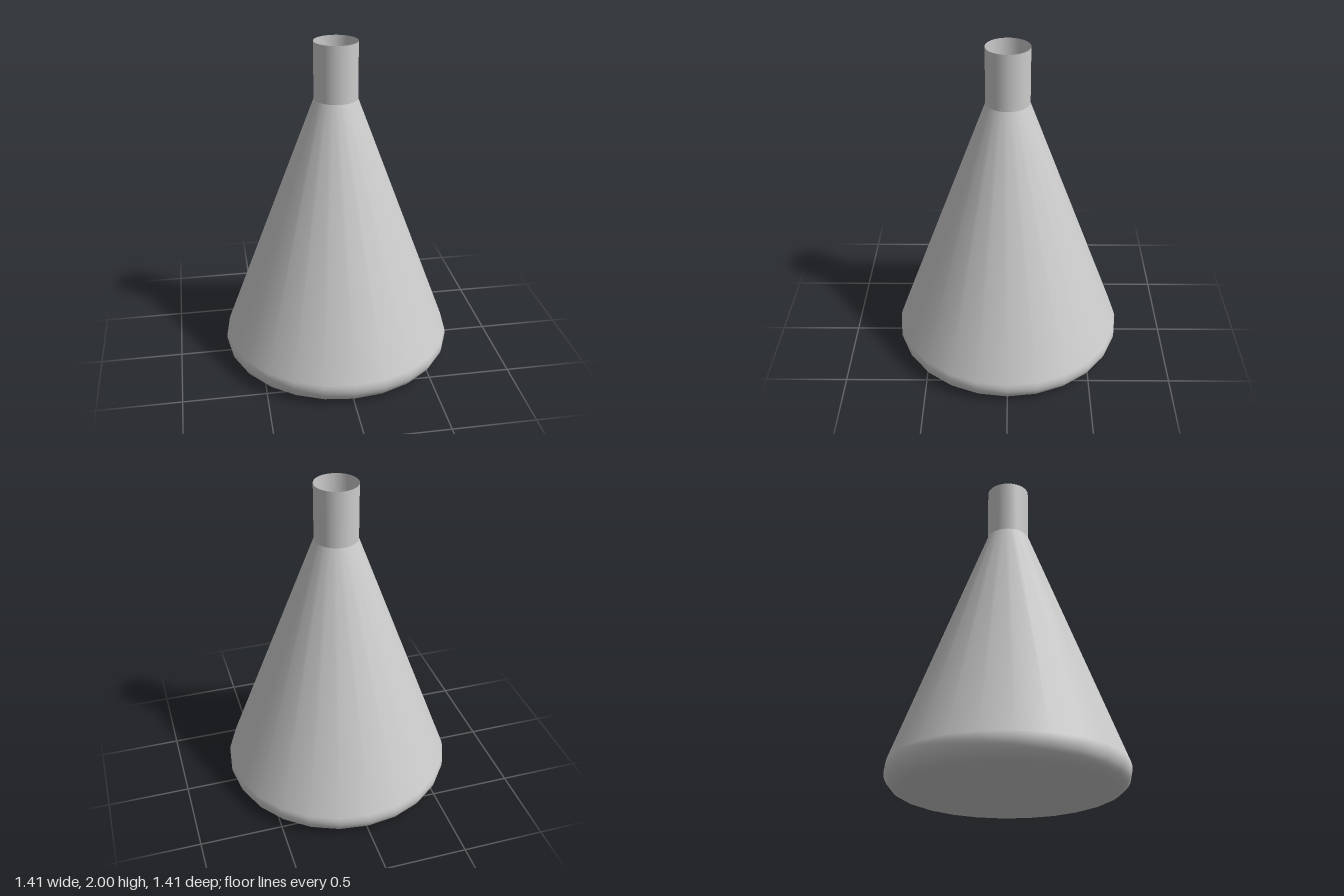
import * as THREE from 'three';

export function createModel() {
  const flask = new THREE.Group();
  flask.name = 'conicalFlask';
  const material = new THREE.MeshStandardMaterial({ color: 0xcccccc, side: THREE.DoubleSide });

  const NECK_R = 0.13, NECK_Y = 1.66, TOP_Y = 2;
  const BASE_R = 0.6, ROUND = 0.105;
  const coneTilt = 0.35; // angle of the cone wall's normal above horizontal

  // Revolve a profile, running from bottom to top, about the y axis
  const addLathe = (name, points, sides) => {
    const mesh = new THREE.Mesh(new THREE.LatheGeometry(points, sides), material);
    mesh.name = name;
    flask.add(mesh);
  };

  // Flat floor
  const floor = new THREE.Mesh(new THREE.CircleGeometry(BASE_R, 24), material);
  floor.name = 'floor';
  floor.rotation.x = Math.PI / 2;
  flask.add(floor);

  // Rounded lower edge, running tangentially into the tapering wall
  const body = [];
  for (let i = 0; i <= 8; i++) {
    const a = THREE.MathUtils.lerp(-Math.PI / 2, coneTilt, i / 8);
    body.push(new THREE.Vector2(BASE_R + ROUND * Math.cos(a), ROUND + ROUND * Math.sin(a)));
  }
  body.push(new THREE.Vector2(NECK_R, NECK_Y));
  addLathe('body', body, 24);

  // Straight open neck
  addLathe('neck', [new THREE.Vector2(NECK_R, NECK_Y), new THREE.Vector2(NECK_R, TOP_Y)], 48);

  return flask;
}
